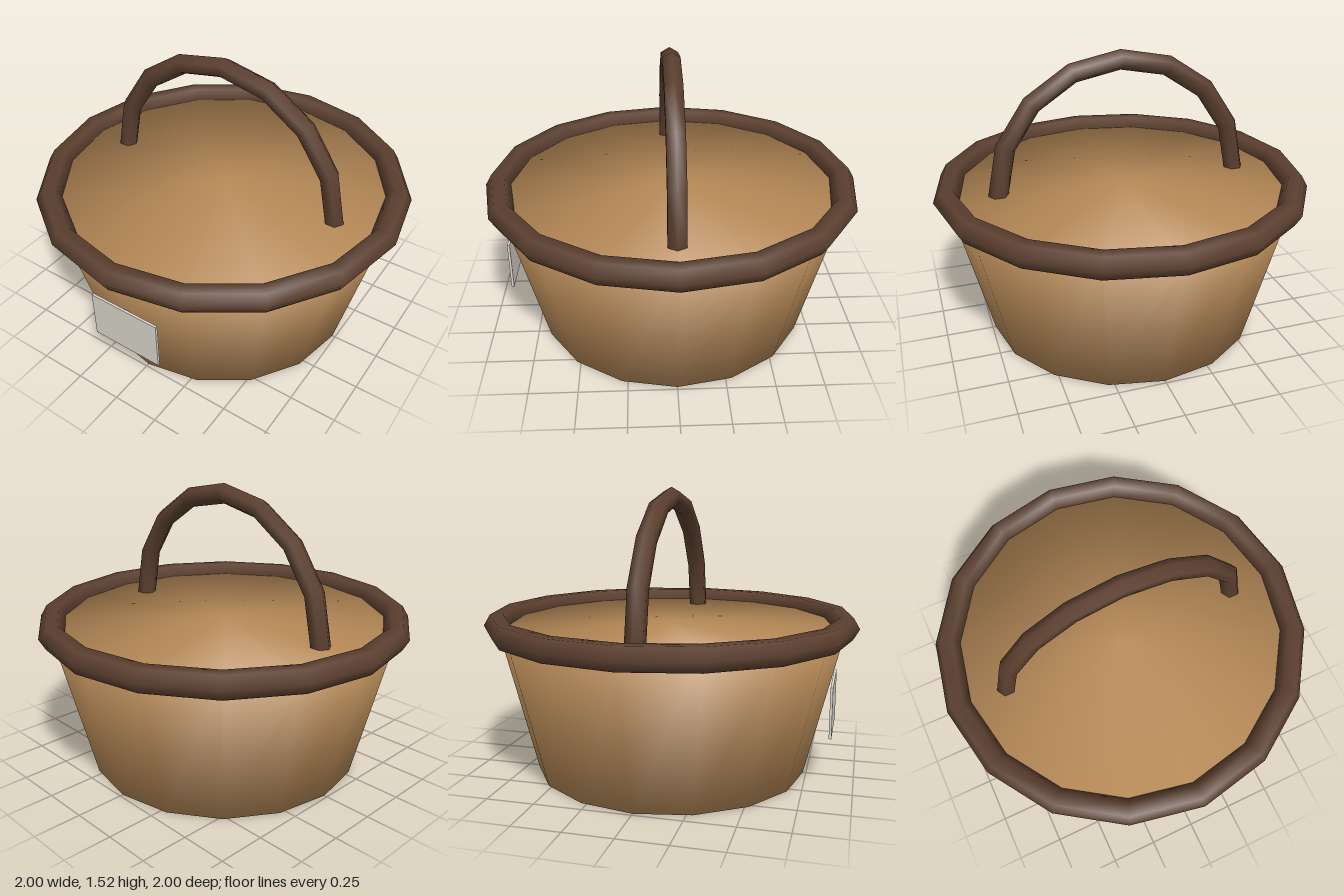
import * as THREE from 'three';
import { mergeVertices } from 'three/addons/utils/BufferGeometryUtils.js';

const paint = (name, color) => {
  const material = new THREE.MeshStandardMaterial({ color });
  material.name = name;
  return material;
};

// Weld corners so shading runs smoothly over every edge
function smooth(geometry) {
  geometry.deleteAttribute('normal');
  geometry.deleteAttribute('uv');
  const welded = mergeVertices(geometry, 1e-4);
  welded.computeVertexNormals();
  return welded;
}

export function createModel() {
  const wicker = paint('wicker', 0xb88b58);
  const darkWood = paint('dark wood', 0x5c4030);
  const paper = paint('paper', 0xdcd7cd);

  const RIM_Y = 0.8, RIM_R = 0.9333;
  const basket = new THREE.Group();
  basket.name = 'basket';
  const add = (name, geometry, material, x, y, z) => {
    const mesh = new THREE.Mesh(geometry, material);
    mesh.name = name;
    mesh.position.set(x, y, z);
    basket.add(mesh);
    return mesh;
  };

  // Tapered closed body
  add('body', smooth(new THREE.CylinderGeometry(RIM_R, 0.7333, RIM_Y, 16)), wicker, 0, RIM_Y / 2, 0);

  // Thick hexagonal-section rim
  add('rim', new THREE.TorusGeometry(RIM_R, 0.0667, 6, 16).rotateX(Math.PI / 2), darkWood, 0, RIM_Y, 0);

  // Half-ring handle standing across the basket
  add('handle', new THREE.TorusGeometry(0.6667, 0.0533, 6, 8, Math.PI), darkWood, 0, RIM_Y, 0);

  // Blank tag in front of the body
  add('tag', new THREE.BoxGeometry(0.4, 0.2667, 0.0133), paper, 0, 0.4, 0.878);

  return basket;
}
